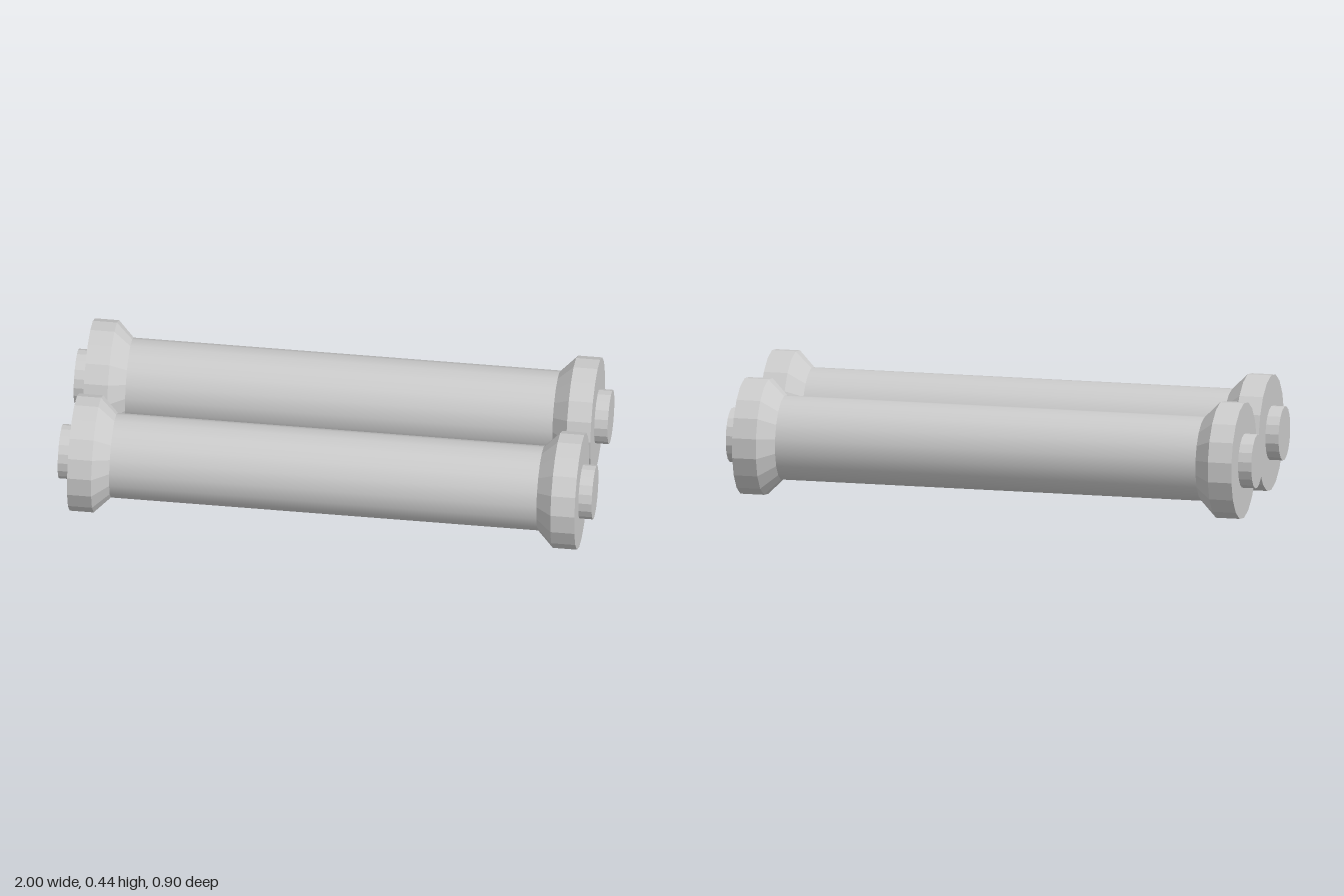
import * as THREE from 'three';

const SIDES = 18;
const AXIS_Y = 0.2215;
const AXIS_Z = 0.2335;
const BARREL_R = 0.158;
const RIM_R = 0.2185;
const PIN_R = 0.1015;

const smooth = new THREE.MeshStandardMaterial({ color: 0xcccccc });
const faceted = new THREE.MeshStandardMaterial({ color: 0xcccccc, flatShading: true });
const thin = new THREE.MeshStandardMaterial({ color: 0xcccccc, side: THREE.DoubleSide });

// Cylinder or cone lying along x from x0 to x1, with a corner at the top
function tube(name, x0, x1, r0, r1, material, open = false) {
  const geo = new THREE.CylinderGeometry(r1, r0, x1 - x0, SIDES, 1, open, Math.PI / 2);
  geo.rotateZ(-Math.PI / 2);
  geo.translate((x0 + x1) / 2, 0, 0);
  const mesh = new THREE.Mesh(geo, material);
  mesh.name = name;
  return mesh;
}

// Bevelled rim and axle pin for the +x end of a roller
function createEnd(name) {
  const end = new THREE.Group();
  end.name = name;
  end.add(
    tube('rimBevel', 0.8, 0.86, BARREL_R, RIM_R, faceted, true),
    tube('rim', 0.86, 0.95, RIM_R, RIM_R, faceted),
    tube('axlePin', 0.95, 1, PIN_R, PIN_R, faceted)
  );
  return end;
}

function createRoller(name, z) {
  const roller = new THREE.Group();
  roller.name = name;
  const rightEnd = createEnd('rightEnd');
  rightEnd.rotation.y = Math.PI;
  roller.add(
    tube('barrel', -0.8, 0.8, BARREL_R, BARREL_R, smooth),
    createEnd('leftEnd'),
    rightEnd
  );
  roller.position.set(0, AXIS_Y, z);
  return roller;
}

// Slightly tapered flat sheet joining the undersides of the rollers
function createSheet() {
  const shape = new THREE.Shape([
    new THREE.Vector2(-0.648, -AXIS_Z),
    new THREE.Vector2(0.624, -AXIS_Z),
    new THREE.Vector2(0.671, AXIS_Z),
    new THREE.Vector2(-0.682, AXIS_Z)
  ]);
  const geo = new THREE.ShapeGeometry(shape);
  geo.rotateX(-Math.PI / 2);
  const sheet = new THREE.Mesh(geo, thin);
  sheet.name = 'sheet';
  sheet.position.y = 0.074;
  return sheet;
}

export function createModel() {
  const model = new THREE.Group();
  model.name = 'twinRollers';
  model.add(
    createRoller('frontRoller', AXIS_Z),
    createRoller('backRoller', -AXIS_Z),
    createSheet()
  );
  return model;
}
